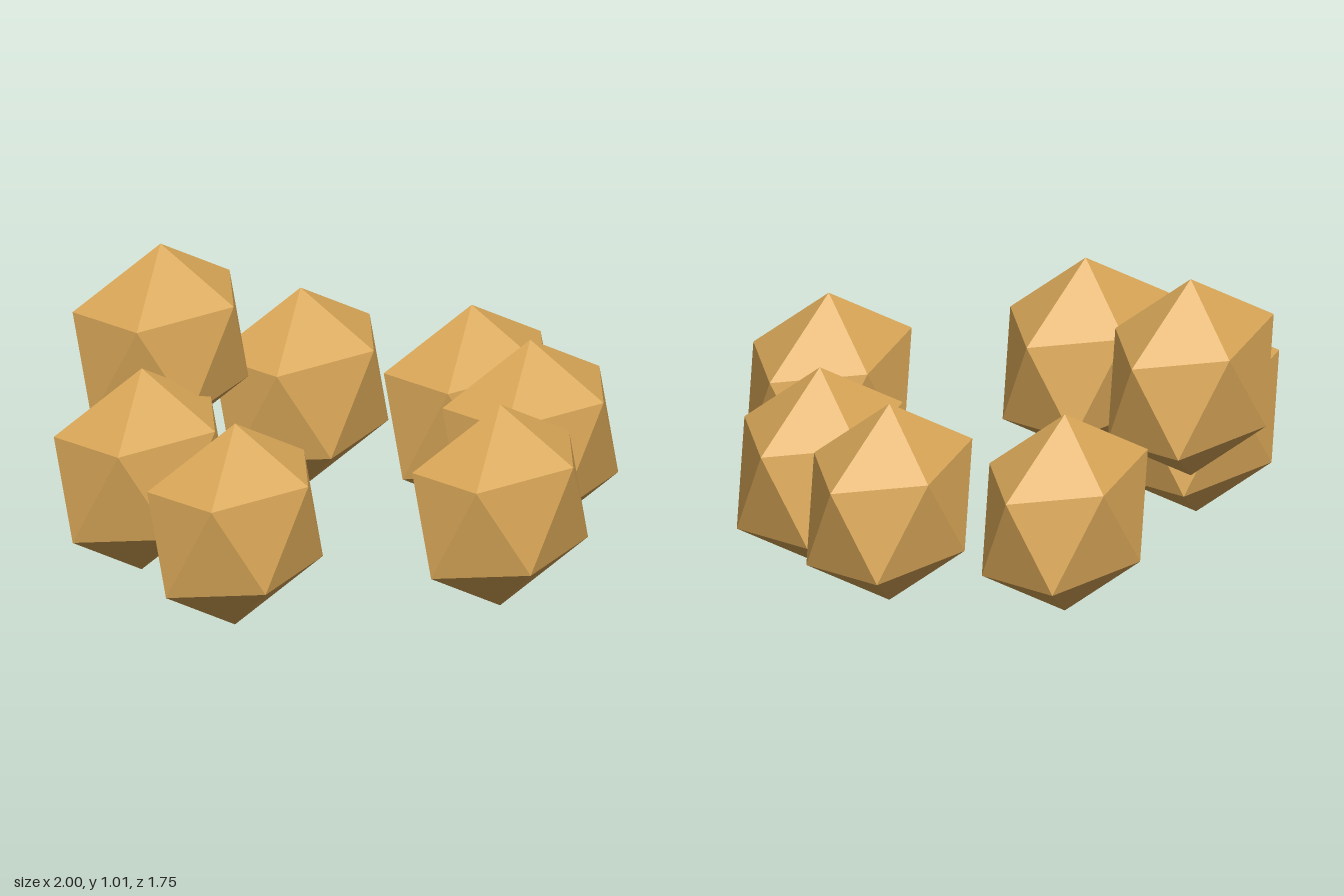
import * as THREE from 'three';
import { ConvexGeometry } from 'three/addons/geometries/ConvexGeometry.js';

// Twenty-sided nugget standing on a point: two poles and two staggered rings of five
function nuggetGeometry() {
  const poleY = 0.357, ringY = 0.16, ringX = 0.345, ringZ = 0.24;
  const points = [new THREE.Vector3(0, poleY, 0), new THREE.Vector3(0, -poleY, 0)];
  for (let i = 0; i < 5; i++) {
    const a = (i * 2 * Math.PI) / 5;
    const x = ringX * Math.cos(a), z = ringZ * Math.sin(a);
    points.push(new THREE.Vector3(x, ringY, z), new THREE.Vector3(-x, -ringY, -z));
  }
  return new ConvexGeometry(points);
}

export function createModel() {
  const group = new THREE.Group();
  group.name = 'nuggetCluster';
  const golden = new THREE.MeshStandardMaterial({ color: 0xd9a757, flatShading: true });
  golden.name = 'goldenTan';
  const geometry = nuggetGeometry();

  // Centres of the scattered ring; one nugget rests on top of the others
  const centres = [
    [-0.655, 0.36, 0.1],
    [-0.49, 0.36, -0.455],
    [-0.18, 0.66, -0.645],
    [0.395, 0.36, -0.535],
    [0.653, 0.36, -0.01],
    [0.548, 0.36, 0.34],
    [0.05, 0.36, 0.645],
  ];
  centres.forEach(([x, y, z], i) => {
    const nugget = new THREE.Mesh(geometry, golden);
    nugget.name = y > 0.5 ? 'raisedNugget' : `nugget${i + 1}`;
    nugget.position.set(x, y, z);
    group.add(nugget);
  });
  return group;
}
